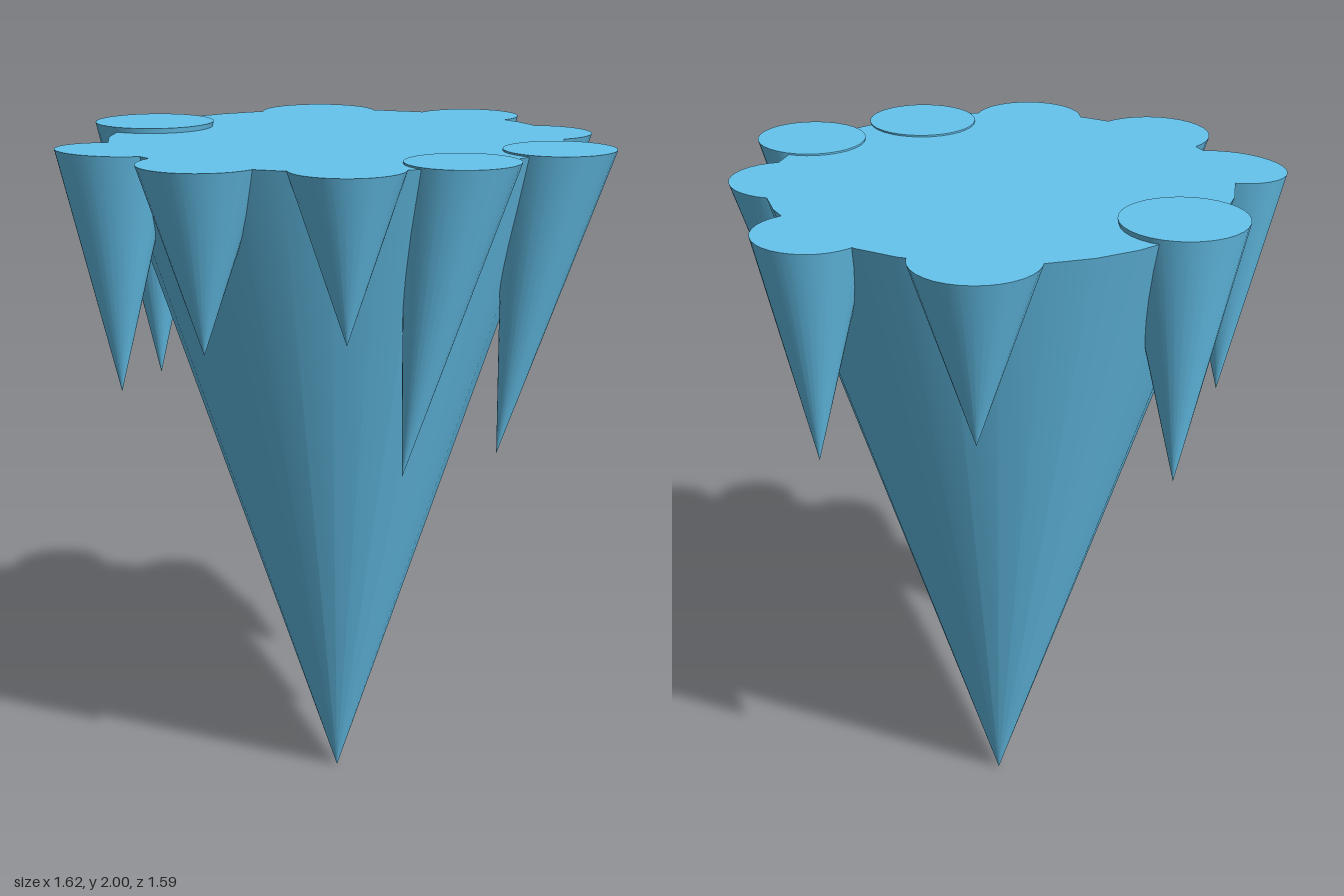
import * as THREE from 'three';

const material = new THREE.MeshStandardMaterial({ color: 0x66c4ee });

// Downward spike: flat cap centred on (x, z) at height top, point at tip = [x, y, z].
function spike(name, x, z, top, rx, rz, tip, sides = 32) {
  const height = top - tip[1];
  const geometry = new THREE.ConeGeometry(1, height, sides);
  geometry.rotateX(Math.PI).translate(0, height / 2, 0);
  // Scale the cap and lean the axis from the tip towards the cap centre
  geometry.applyMatrix4(new THREE.Matrix4().set(
    rx, (x - tip[0]) / height, 0, tip[0],
    0, 1, 0, tip[1],
    0, (z - tip[2]) / height, rz, tip[2],
    0, 0, 0, 1));
  const mesh = new THREE.Mesh(geometry, material);
  mesh.name = name;
  return mesh;
}

export function createModel() {
  const group = new THREE.Group();
  group.name = 'icicleCluster';

  // Large central icicle
  group.add(spike('mainIcicle', -0.03, 0, 1.985, 0.66, 0.66, [-0.03, 0, 0]));

  // Ring of small icicles: cap x, cap z, cap height, radius x, radius z, tip
  const ring = [
    [-0.635, -0.015, 2.0, 0.178, 0.178, [-0.635, 1.22, -0.015]],
    [0.648, -0.003, 1.99, 0.16, 0.16, [0.48, 1.09, -0.003]],
    [0.485, 0.33, 1.99, 0.16, 0.16, [0.318, 1.09, 0.333]],
    [0.245, 0.553, 1.985, 0.16, 0.16, [0.245, 1.51, 0.553]],
    [-0.152, 0.617, 1.985, 0.176, 0.176, [-0.152, 1.46, 0.617]],
    [-0.495, 0.475, 1.985, 0.178, 0.135, [-0.495, 1.29, 0.475]],
    [-0.335, -0.553, 1.985, 0.177, 0.177, [-0.335, 1.46, -0.55]],
    [0.137, -0.637, 1.985, 0.16, 0.16, [0.137, 1.32, -0.635]],
    [0.47, -0.338, 1.985, 0.16, 0.16, [0.47, 1.51, -0.336]],
  ];
  ring.forEach((s, i) => group.add(spike(`smallIcicle${i + 1}`, ...s)));

  return group;
}
